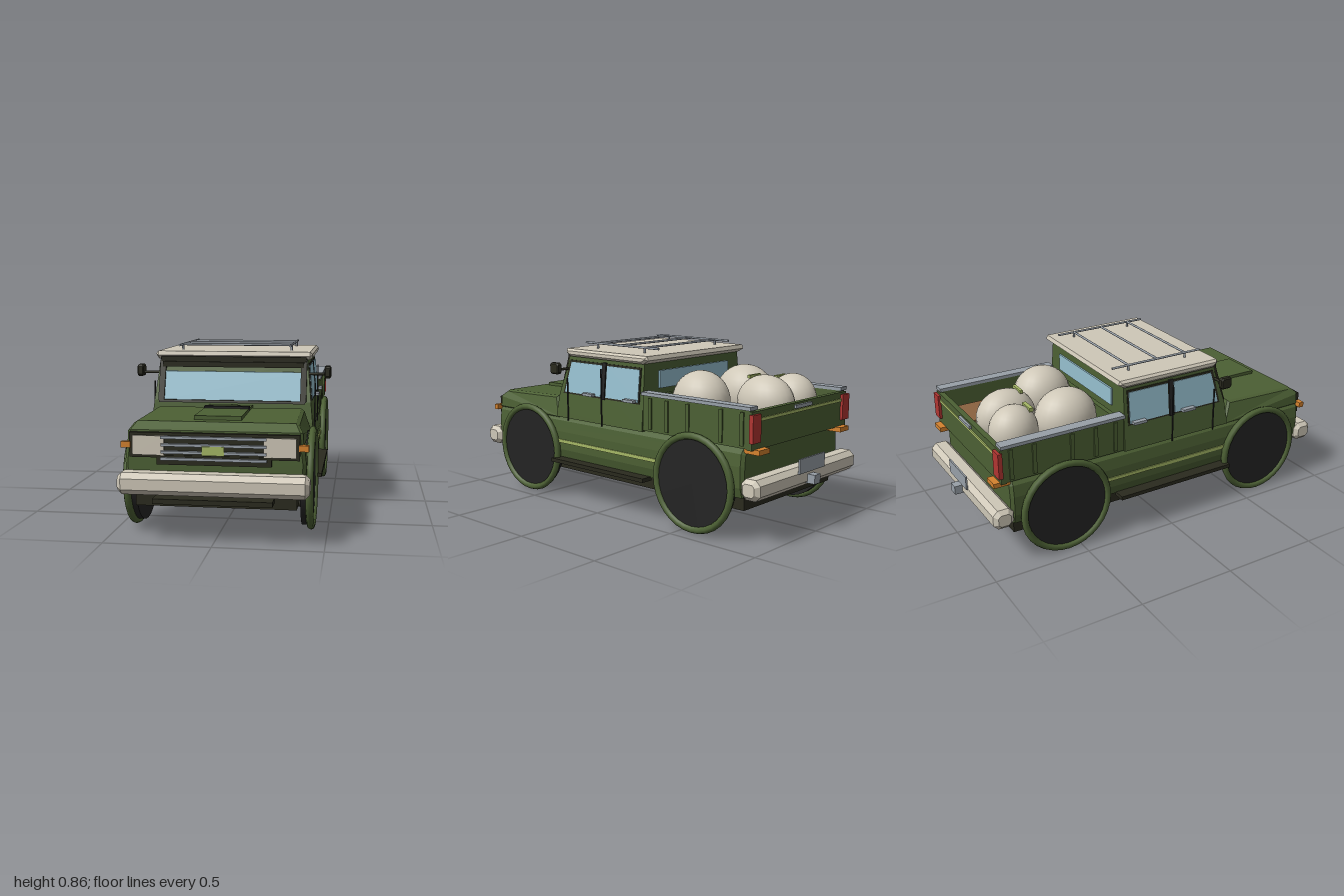
import * as THREE from 'three';

const paint = (name, color) => {
  const m = new THREE.MeshStandardMaterial({ color });
  m.name = name;
  return m;
};

export function createModel() {
  const green = paint('bodyGreen', 0x4c6034);
  const olive = paint('darkTrim', 0x2a2a1e);
  const black = paint('rubberBlack', 0x242424);
  const cream = paint('cream', 0xcfc8b8);
  const glass = paint('glassBlue', 0x97c0d0);
  const steel = paint('steel', 0x98a0a8);
  const lime = paint('lime', 0xa6b866);
  const orange = paint('orange', 0xd4822e);
  const red = paint('red', 0xb23632);
  const brown = paint('crateBrown', 0x8a6240);
  const group = new THREE.Group();
  group.name = 'pickupTruck';

  const add = (name, geo, mat) => {
    const m = new THREE.Mesh(geo, mat);
    m.name = name;
    group.add(m);
    return m;
  };
  // box from its min and max along each axis
  const box = (name, mat, x0, x1, y0, y1, z0, z1) => {
    const g = new THREE.BoxGeometry(Math.abs(x1 - x0), y1 - y0, z1 - z0);
    g.translate((x0 + x1) / 2, (y0 + y1) / 2, (z0 + z1) / 2);
    return add(name, g, mat);
  };
  // box mirrored on both sides
  const pair = (name, mat, x0, x1, ...r) => {
    for (const s of [1, -1]) box(name, mat, s * x0, s * x1, ...r);
  };
  const rod = (name, mat, a, b, r = 0.006, sides = 8) => {
    const A = new THREE.Vector3(...a), B = new THREE.Vector3(...b), d = B.clone().sub(A);
    const m = add(name, new THREE.CylinderGeometry(r, r, d.length(), sides), mat);
    m.position.copy(A).add(B).multiplyScalar(0.5);
    m.quaternion.setFromUnitVectors(new THREE.Vector3(0, 1, 0), d.normalize());
    return m;
  };
  const extrude = (pts, depth, bevel) => {
    const shape = new THREE.Shape(pts.map((p) => new THREE.Vector2(...p)));
    const g = new THREE.ExtrudeGeometry(shape, {
      depth: depth - 2 * bevel, bevelEnabled: bevel > 0, bevelSize: bevel,
      bevelThickness: bevel, bevelOffset: -bevel, bevelSegments: 1,
    });
    return g.translate(0, 0, bevel - depth / 2);
  };
  // side outline of [z, y] points swept across the width
  const across = (pts, width, bevel = 0) => extrude(pts, width, bevel).rotateY(-Math.PI / 2);
  const warp = (g, rule) => {
    const p = g.attributes.position, v = new THREE.Vector3();
    for (let i = 0; i < p.count; i++) {
      rule(v.fromBufferAttribute(p, i));
      p.setXYZ(i, v.x, v.y, v.z);
    }
    g.computeVertexNormals();
    return g;
  };
  const octagon = (z0, z1, y0, y1, c) => [[z0 + c, y0], [z1 - c, y0], [z1, y0 + c], [z1, y1 - c],
    [z1 - c, y1], [z0 + c, y1], [z0, y1 - c], [z0, y0 + c]];
  const rect = (a0, a1, b0, b1) => [[a0, b0], [a1, b0], [a1, b1], [a0, b1]];

  // lower body and underside
  const half = [[0.395, 0.22], [0.41, 0.27], [0.412, 0.37], [0.405, 0.43], [0.385, 0.455]];
  const section = [...half, ...half.map(([x, y]) => [-x, y]).reverse()];
  add('lowerBody', extrude(section, 1.77, 0.015).translate(0, 0, 0.025), green);
  box('chassis', olive, -0.37, 0.37, 0.155, 0.225, -0.84, 0.885);
  box('skidPlate', olive, -0.27, 0.27, 0.187, 0.21, 0.87, 0.98);
  pair('sideStripe', lime, 0.408, 0.416, 0.308, 0.326, -0.335, 0.39);
  pair('runningBoard', olive, 0.39, 0.457, 0.205, 0.225, -0.28, 0.4);

  // hood, narrowing towards its top
  add('hood', warp(across([[0.39, 0.44], [0.91, 0.44], [0.905, 0.51], [0.86, 0.545], [0.44, 0.555]], 0.8, 0.01),
    (v) => { v.x *= 1 - Math.max(0, v.y - 0.5) * 1.6; }), green);
  box('hoodPanel', green, -0.11, 0.11, 0.54, 0.565, 0.41, 0.81);
  box('hoodVent', black, -0.11, 0.11, 0.55, 0.575, 0.52, 0.555);

  // cab with sides leaning in
  const cabX = (y) => 0.411 - 0.1 * (y - 0.45);
  const screenZ = (y) => 0.385 - 0.333 * (y - 0.58);
  add('cab', warp(across([[-0.235, 0.45], [0.402, 0.45], [0.4, 0.48], [0.385, 0.58], [0.315, 0.79], [-0.225, 0.79]], 2),
    (v) => { v.x = Math.sign(v.x) * cabX(v.y); }), green);
  const sidePlate = (name, mat, pts, thick, out = 0) => {
    for (const s of [1, -1]) add(name, warp(across(pts, thick), (v) => { v.x += s * (cabX(v.y) + out); }), mat);
  };
  sidePlate('windowFrame', olive, [[-0.208, 0.583], [0.352, 0.583], [0.312, 0.765], [-0.208, 0.765]], 0.008);
  sidePlate('frontSideWindow', glass, [[0.067, 0.592], [0.338, 0.592], [0.298, 0.755], [0.067, 0.755]], 0.008, 0.003);
  sidePlate('rearSideWindow', glass, rect(-0.2, 0.03, 0.592, 0.755), 0.008, 0.003);
  sidePlate('doorPillar', black, rect(0.036, 0.062, 0.58, 0.77), 0.012, 0.004);
  for (const x of [0.414, -0.414]) {
    for (const [z, top] of [[0.305, 0.67], [0.048, 0.74]]) {
      rod('doorSeam', black, [x, 0.44, z], [x, top, z], 0.004, 6);
    }
  }
  pair('frontDoorHandle', steel, 0.395, 0.428, 0.59, 0.604, 0.105, 0.18);
  pair('rearDoorHandle', steel, 0.395, 0.428, 0.59, 0.604, -0.19, -0.115);

  // windscreen, its frame and the visor
  const screen = (name, mat, pts, thick, out) =>
    add(name, warp(extrude(pts, thick, 0), (v) => { v.z += screenZ(v.y) + out; }), mat);
  screen('windscreen', glass, rect(-0.345, 0.345, 0.583, 0.725), 0.008, 0.004);
  for (const s of [1, -1]) {
    screen('windscreenPillar', olive, s > 0 ? rect(0.345, 0.375, 0.58, 0.79) : rect(-0.375, -0.345, 0.58, 0.79), 0.024, 0.006);
  }
  screen('windscreenSill', olive, rect(-0.37, 0.37, 0.572, 0.585), 0.024, 0.006);
  box('visorLower', olive, -0.36, 0.36, 0.747, 0.774, 0.3, 0.35);
  box('visorUpper', olive, -0.37, 0.37, 0.774, 0.8, 0.28, 0.342);
  box('rearWindow', glass, -0.28, 0.28, 0.655, 0.745, -0.238, -0.229);

  // roof and rack
  add('roof', across([[-0.225, 0.785], [0.305, 0.785], [0.335, 0.805], [0.328, 0.826], [-0.252, 0.826], [-0.26, 0.805]], 0.8, 0.012), cream);
  for (const x of [0.285, -0.285]) {
    rod('rackRail', steel, [x, 0.853, -0.235], [x, 0.853, 0.29]);
    for (const z of [-0.14, 0.2]) rod('rackPost', steel, [x, 0.82, z], [x, 0.853, z]);
  }
  for (const z of [-0.14, 0.03, 0.2]) rod('rackBar', steel, [-0.285, 0.853, z], [0.285, 0.853, z]);

  // mirrors
  for (const s of [1, -1]) {
    rod('mirrorArm', olive, [s * 0.37, 0.717, 0.325], [s * 0.47, 0.717, 0.325], 0.007);
    const m = add('mirror', across(octagon(0.29, 0.355, 0.697, 0.757, 0.01), 0.032, 0.006), olive);
    m.position.x = s * 0.478;
  }

  // front face
  box('grilleSurround', olive, -0.385, 0.385, 0.388, 0.502, 0.89, 0.925);
  box('grilleLower', olive, -0.26, 0.26, 0.357, 0.4, 0.89, 0.93);
  pair('headlightPanel', cream, 0.225, 0.37, 0.4, 0.488, 0.91, 0.933);
  for (const y of [0.482, 0.448, 0.415, 0.385]) {
    const w = y < 0.4 ? 0.24 : 0.238;
    box('grilleBar', steel, -w, w, y - 0.006, y + 0.006, 0.915, 0.942);
  }
  box('frontPlate', lime, -0.05, 0.05, 0.405, 0.446, 0.938, 0.947);
  pair('frontMarker', orange, 0.38, 0.425, 0.43, 0.458, 0.9, 0.93);

  // bumpers and tow hitch
  add('frontBumper', across(octagon(0.885, 0.995, 0.225, 0.325, 0.025), 0.866, 0.02), cream);
  add('rearBumper', across(octagon(-0.96, -0.855, 0.225, 0.325, 0.025), 0.866, 0.02), cream);
  box('rearPlate', steel, -0.11, 0.11, 0.3, 0.372, -0.97, -0.961);
  box('towHitch', steel, -0.025, 0.025, 0.24, 0.285, -1, -0.945);

  // cargo bed
  box('bedFloor', olive, -0.37, 0.37, 0.453, 0.47, -0.88, -0.25);
  pair('bedSide', green, 0.365, 0.408, 0.458, 0.64, -0.89, -0.24);
  box('bedFront', green, -0.365, 0.365, 0.458, 0.63, -0.27, -0.245);
  box('tailgate', green, -0.408, 0.408, 0.453, 0.63, -0.903, -0.876);
  pair('bedRail', steel, 0.36, 0.418, 0.636, 0.653, -0.9, -0.238);
  for (const z of [-0.29, -0.4, -0.53, -0.73, -0.85]) pair('bedRib', green, 0.4, 0.415, 0.47, 0.625, z - 0.01, z + 0.01);
  box('tailgateStripe', lime, -0.355, 0.355, 0.582, 0.597, -0.908, -0.9);
  box('tailgateHandle', steel, -0.07, 0.07, 0.603, 0.62, -0.915, -0.9);
  pair('tailLight', red, 0.355, 0.418, 0.488, 0.618, -0.917, -0.895);
  pair('rearMarker', orange, 0.31, 0.39, 0.433, 0.457, -0.935, -0.85);

  // cargo: sacks with tags and a crate
  const sacks = [[-0.18, 0.6, -0.73, 0.11, 0.13, 0.125], [0, 0.6, -0.69, 0.115, 0.137, 0.155],
    [-0.17, 0.6, -0.44, 0.135, 0.152, 0.163], [0.16, 0.6, -0.41, 0.133, 0.15, 0.155]];
  for (const [x, y, z, rx, ry, rz] of sacks) {
    const m = add('sack', new THREE.SphereGeometry(1, 24, 16), cream);
    m.position.set(x, y, z);
    m.scale.set(rx, ry, rz);
  }
  box('sackTag', lime, -0.225, -0.14, 0.695, 0.715, -0.66, -0.64);
  box('sackTag', lime, -0.045, 0.045, 0.717, 0.733, -0.625, -0.61);
  box('crate', brown, 0.1, 0.315, 0.468, 0.56, -0.83, -0.59);

  // wheels with green rims, and axles
  for (const z of [0.617, -0.574]) {
    rod('axle', olive, [-0.39, 0.125, z], [0.39, 0.125, z], 0.02, 12);
    for (const s of [1, -1]) {
      const disc = add('wheel', new THREE.CylinderGeometry(0.225, 0.225, 0.046, 32).rotateZ(Math.PI / 2), black);
      disc.position.set(s * 0.404, 0.25, z);
      const ring = add('wheelRing', new THREE.TorusGeometry(0.229, 0.018, 8, 32).rotateY(Math.PI / 2), green);
      ring.position.set(s * 0.423, 0.25, z);
    }
  }
  return group;
}
